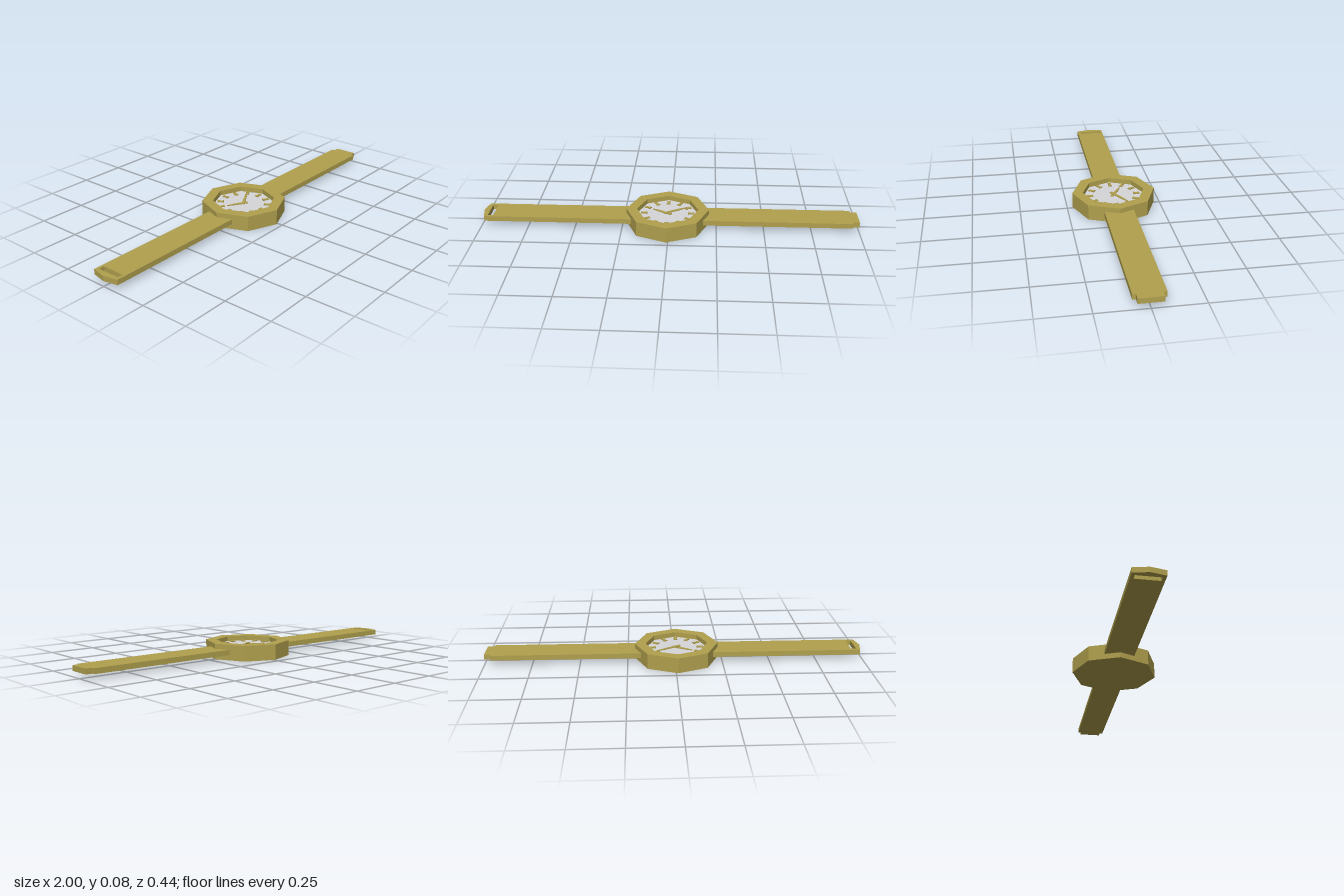
import * as THREE from 'three';

const gold = new THREE.MeshStandardMaterial({ color: 0xb0a04e });
gold.name = 'gold';
const silver = new THREE.MeshStandardMaterial({ color: 0xd6d6da });
silver.name = 'silver dial';

const CX = -0.01; // centre of the case along the strap
const octagon = (r) => Array.from({ length: 8 }, (_, i) =>
  new THREE.Vector2(r * Math.cos(i * Math.PI / 4), r * Math.sin(i * Math.PI / 4)));
const toPoints = (list) => list.map(([x, y]) => new THREE.Vector2(x, y));

// Flat part lying in the ground plane, from height y0 to y1
function slab(name, points, y0, y1, material, hole) {
  const shape = new THREE.Shape(points);
  if (hole) shape.holes.push(new THREE.Path(hole));
  const geometry = new THREE.ExtrudeGeometry(shape, { depth: y1 - y0, bevelEnabled: false });
  geometry.rotateX(-Math.PI / 2);
  const mesh = new THREE.Mesh(geometry, material);
  mesh.name = name;
  mesh.position.y = y0;
  return mesh;
}

export function createModel() {
  const model = new THREE.Group();
  model.name = 'wristwatch';

  // Octagonal case with a recessed dial
  const watch = new THREE.Group();
  watch.name = 'watchHead';
  watch.position.x = CX;
  watch.add(
    slab('caseBack', octagon(0.221), 0, 0.05, gold),
    slab('bezel', octagon(0.221), 0.05, 0.081, gold, octagon(0.164)),
    slab('dial', octagon(0.164), 0.05, 0.055, silver),
  );

  // Twelve wedge-shaped hour markers
  const wedge = toPoints([[0.109, -0.011], [0.122, -0.005], [0.142, -0.009],
    [0.142, 0.009], [0.122, 0.005], [0.109, 0.011]]);
  for (let i = 0; i < 12; i++) {
    const marker = slab('hourMarker', wedge, 0.055, 0.061, gold);
    marker.rotation.y = i * Math.PI / 6;
    watch.add(marker);
  }

  // Tapered hands with short tails
  const hand = (name, length, angle, y) => {
    const outline = toPoints([[-0.022, -0.008], [length * 0.6, -0.006], [length, 0],
      [length * 0.6, 0.006], [-0.022, 0.008]]);
    const mesh = slab(name, outline, y, y + 0.005, gold);
    mesh.rotation.y = angle;
    watch.add(mesh);
  };
  hand('hourHand', 0.095, Math.PI - 0.52, 0.055);
  hand('minuteHand', 0.122, 0.54, 0.06);
  model.add(watch);

  // Strap halves: slotted pointed end, and stepped tongue end
  const W = 0.077;
  model.add(slab('slottedStrap', toPoints([[-0.19, -W], [-0.19, W], [-0.984, W],
    [-1, 0], [-0.984, -W]]), 0.028, 0.055, gold,
  toPoints([[-0.967, -0.061], [-0.967, 0.061], [-0.938, 0.061], [-0.938, -0.061]])));
  model.add(slab('tongueStrap', toPoints([[0.17, -W], [0.965, -W], [0.965, -0.06], [1, -0.06],
    [1, 0.06], [0.965, 0.06], [0.965, W], [0.17, W]]), 0.028, 0.055, gold));

  return model;
}
